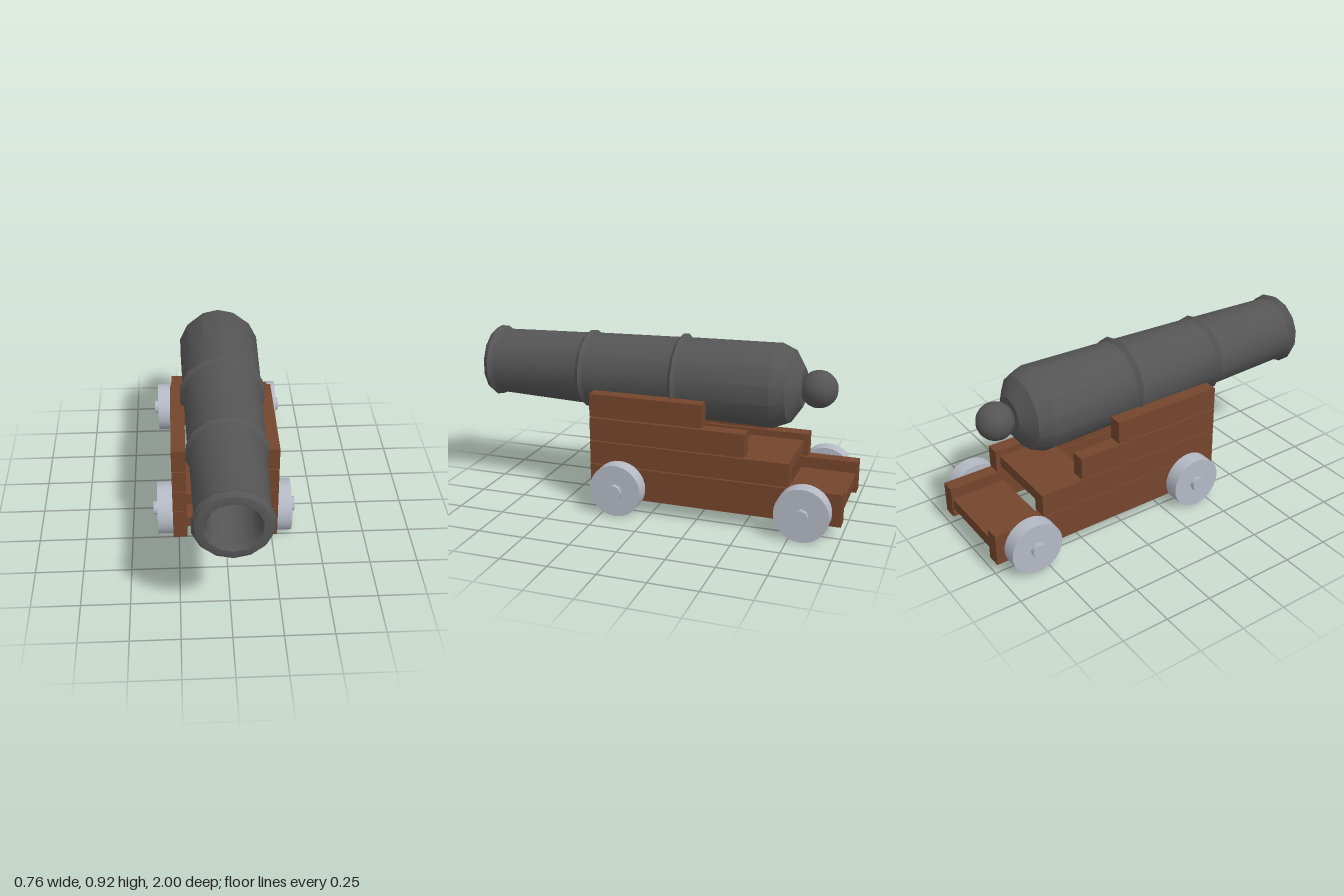
import * as THREE from 'three';
import { toCreasedNormals } from 'three/addons/utils/BufferGeometryUtils.js';

export function createModel() {
  const iron = new THREE.MeshStandardMaterial({ color: 0x555555, side: THREE.DoubleSide });
  iron.name = 'dark iron';
  const wood = new THREE.MeshStandardMaterial({ color: 0x74452c });
  wood.name = 'brown wood';
  const steel = new THREE.MeshStandardMaterial({ color: 0xb4b9c4 });
  steel.name = 'pale metal';

  const root = new THREE.Group();
  root.name = 'cannon';
  const add = (parent, name, geometry, material, x, y, z) => {
    const mesh = new THREE.Mesh(geometry, material);
    mesh.name = name;
    mesh.position.set(x, y, z);
    parent.add(mesh);
    return mesh;
  };

  // Barrel: outer wall from breech to muzzle, then back down the bore [radius, z]
  const axisY = 0.691;
  const profile = [
    [0.055, -0.735], [0.1, -0.735], [0.19, -0.675], [0.222, -0.6],
    [0.212, -0.11], [0.231, -0.09], [0.21, -0.07],
    [0.197, 0.41], [0.21, 0.43], [0.194, 0.45],
    [0.178, 0.945], [0.195, 0.97], [0.18, 0.995], [0.165, 1],
    [0.138, 1], [0.122, 0.97], [0.122, -0.55], [0.055, -0.735],
  ].map(([r, z]) => new THREE.Vector2(r, z));
  const barrel = new THREE.LatheGeometry(profile, 14).rotateX(Math.PI / 2);
  add(root, 'barrel', toCreasedNormals(barrel, 0.5), iron, 0, axisY, 0);
  add(root, 'breechKnob', new THREE.SphereGeometry(0.097, 20, 14), iron, 0, axisY, -0.812);

  // Carriage
  const carriage = new THREE.Group();
  carriage.name = 'carriage';
  carriage.position.x = -0.0035;
  root.add(carriage);

  // Stepped side planks: bottom, top, rear end
  const front = 0.335;
  const planks = [
    [0.072, 0.244, -1], [0.25, 0.372, -0.73],
    [0.378, 0.5, -0.5], [0.507, 0.63, -0.275],
  ];
  for (const side of [-1, 1]) {
    planks.forEach(([y0, y1, rear], i) => {
      const box = new THREE.BoxGeometry(0.074, y1 - y0, front - rear);
      add(carriage, `sidePlank${i + 1}`, box, wood, side * 0.2385, (y0 + y1) / 2, (front + rear) / 2);
    });

    // Wheels with axle ends
    for (const z of [0.167, -0.815]) {
      const wheel = new THREE.CylinderGeometry(0.14, 0.14, 0.081, 32).rotateZ(Math.PI / 2);
      add(carriage, 'wheel', wheel, steel, side * 0.316, 0.14, z);
      const hub = new THREE.CylinderGeometry(0.039, 0.039, 0.03, 8).rotateZ(Math.PI / 2);
      add(carriage, 'axleEnd', hub, steel, side * 0.365, 0.14, z);
    }
  }

  // Cross boards between the sides: centre y, rear, front
  const boards = [
    [0.1525, -0.992, -0.697], [0.1525, 0.015, 0.31],
    [0.306, -0.705, -0.41], [0.306, 0.015, 0.31],
  ];
  for (const [y, z0, z1] of boards) {
    add(carriage, 'crossBoard', new THREE.BoxGeometry(0.405, 0.061, z1 - z0), wood, 0, y, (z0 + z1) / 2);
  }

  return root;
}
